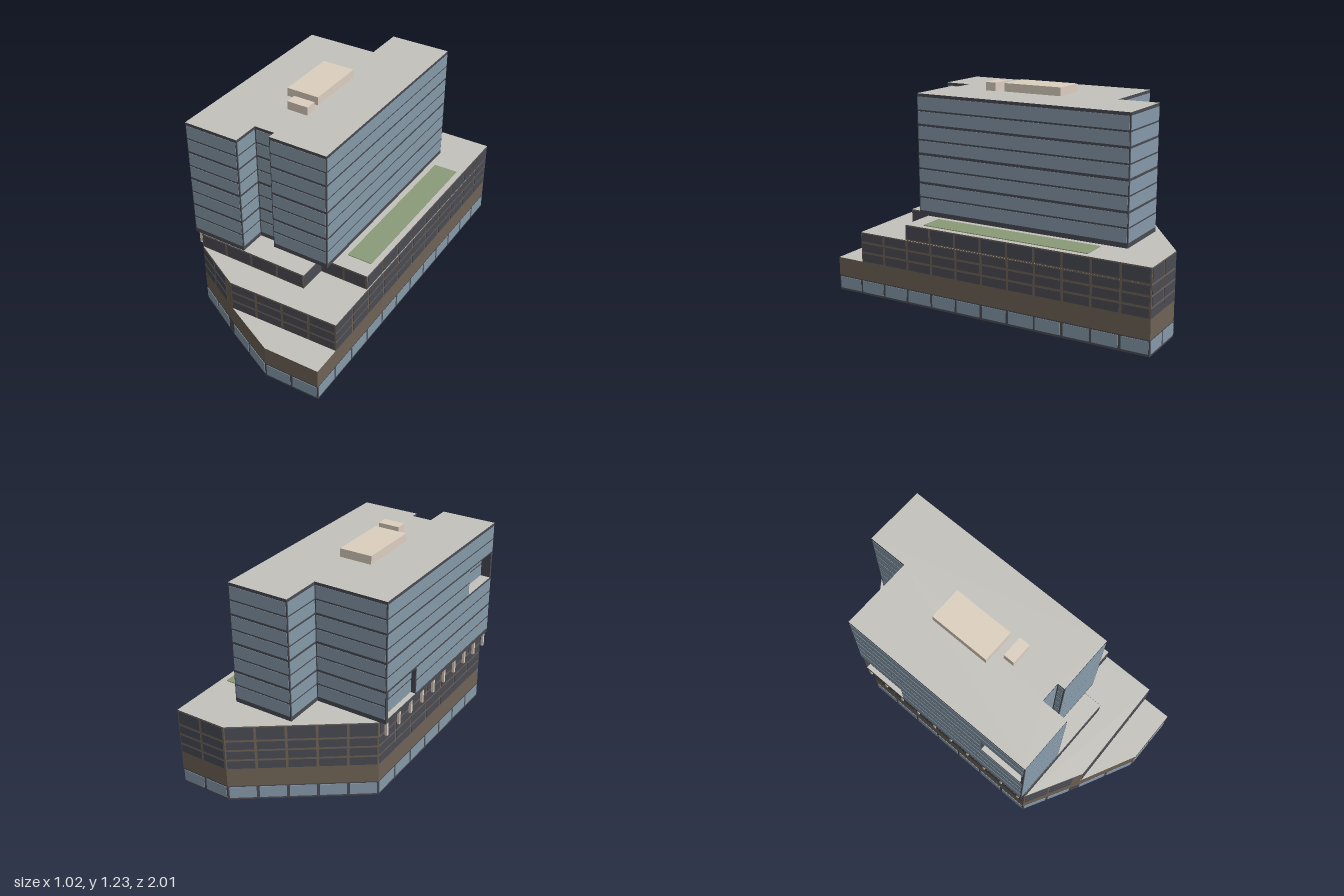
import * as THREE from 'three';

const mat = (color) => new THREE.MeshStandardMaterial({ color, side: THREE.DoubleSide });

export function createModel() {
  const model = new THREE.Group();
  model.name = 'officeBuilding';
  const glass = mat(0x8699a9), frame = mat(0x4a4b53), stone = mat(0x6e6255);
  const roofing = mat(0xc3c2bc), lawn = mat(0x8a9b78), plant = mat(0xdccfbf);

  function group(name) {
    const g = new THREE.Group();
    g.name = name;
    model.add(g);
    return g;
  }
  function add(parent, name, geometry, material) {
    const mesh = new THREE.Mesh(geometry, material);
    mesh.name = name;
    parent.add(mesh);
    return mesh;
  }
  function block(parent, name, material, x0, x1, y0, y1, z0, z1) {
    const m = add(parent, name, new THREE.BoxGeometry(x1 - x0, y1 - y0, z1 - z0), material);
    m.position.set((x0 + x1) / 2, (y0 + y1) / 2, (z0 + z1) / 2);
    return m;
  }
  // Group lying on a footprint edge: local x runs a to b, local z points outward
  function edgeFrame(parent, name, a, b) {
    const g = new THREE.Group();
    g.name = name;
    g.position.set(a[0], 0, a[1]);
    g.rotation.y = Math.atan2(a[1] - b[1], b[0] - a[0]);
    parent.add(g);
    return { g, len: Math.hypot(b[0] - a[0], b[1] - a[1]) };
  }
  const rect = (Type, u0, u1, y0, y1) => new Type([
    new THREE.Vector2(u0, y0), new THREE.Vector2(u1, y0),
    new THREE.Vector2(u1, y1), new THREE.Vector2(u0, y1)]);
  const edges = (pts) => pts.map((p, i) => [p, pts[(i + 1) % pts.length]]);

  function walls(parent, name, pts, y0, y1, material) {
    for (const [a, b] of edges(pts)) {
      const { g, len } = edgeFrame(parent, name, a, b);
      add(g, name + 'Panel', new THREE.ShapeGeometry(rect(THREE.Shape, 0, len, y0, y1)), material);
    }
  }
  function slab(parent, name, pts, y, material) {
    const shape = new THREE.Shape(pts.map(([x, z]) => new THREE.Vector2(x, -z)));
    const m = add(parent, name, new THREE.ShapeGeometry(shape), material);
    m.rotation.x = -Math.PI / 2;
    m.position.y = y;
  }
  // Rows of window panels along each edge; bays[i] = [count, usable share of the edge]
  function windows(parent, name, pts, bays, rows, material, gap) {
    edges(pts).forEach(([a, b], i) => {
      const { g, len } = edgeFrame(parent, name, a, b);
      const [count, share] = bays[i];
      const w = len * share / count;
      for (const [y0, y1] of rows) {
        for (let k = 0; k < count; k++) {
          block(g, name + 'Pane', material, k * w + gap / 2, (k + 1) * w - gap / 2, y0, y1, -0.001, 0.003);
        }
      }
    });
  }

  // Podium footprints, stepping back toward the top
  const rear = [[0.5, -1], [0.19, -1], [-0.47, -0.53]];
  const ground = [[-0.47, 0.67], [-0.15, 0.84], [0.18, 1], [0.505, 0.995], ...rear];
  const middle = [[-0.47, 0.67], [-0.15, 0.84], [0.505, 0.82], ...rear];
  const upper = [[-0.47, 0.67], [0.21, 0.67], [0.21, 0.5], [0.5, 0.5], ...rear];
  const rearBays = [[2, 1], [5, 1], [7, 1]];

  // Open-bottomed ground floor with a solid band above
  const base = group('groundFloor');
  walls(base, 'shopWall', ground, 0, 0.09, frame);
  walls(base, 'solidBand', ground, 0.09, 0.2, stone);
  slab(base, 'lowerTerrace', ground, 0.2, roofing);
  slab(base, 'lowerCeiling', ground, 0.198, mat(0x5c5a57));
  windows(base, 'shopWindow', ground, [[2, 0.85], [2, 1], [2, 1], [12, 1], ...rearBays],
    [[0.013, 0.083]], glass, 0.016);

  // Middle storeys
  const mid = group('middleStoreys');
  walls(mid, 'middleWall', middle, 0.2, 0.38, stone);
  slab(mid, 'middleTerrace', middle, 0.38, roofing);
  windows(mid, 'middleWindow', middle, [[2, 0.85], [4, 1], [11, 1], ...rearBays],
    [[0.205, 0.254], [0.266, 0.315], [0.327, 0.375]], frame, 0.014);

  // Upper podium storey with lawn
  const top = group('upperPodium');
  walls(top, 'upperWall', upper, 0.38, 0.47, stone);
  slab(top, 'podiumRoof', upper, 0.47, roofing);
  windows(top, 'upperWindow', upper, [[4, 1], [1, 1], [2, 1], [9, 1], ...rearBays],
    [[0.388, 0.464]], frame, 0.014);
  block(top, 'roofLawn', lawn, 0.32, 0.465, 0.47, 0.474, -0.63, 0.4);

  // Posts under the tower overhang
  const posts = group('overhangPosts');
  for (let i = 0; i < 10; i++) {
    const z = -0.5 + i * 0.127;
    block(posts, 'post', plant, -0.505, -0.49, 0.385, 0.472, z - 0.007, z + 0.007);
  }

  // Tower: the last edge, on the -x side, carries two recessed balconies
  const tower = group('tower');
  const plan = [[-0.51, 0.67], [-0.18, 0.67], [-0.18, 0.51], [-0.06, 0.51], [-0.06, 0.555],
    [0.285, 0.555], [0.285, -0.77], [-0.08, -0.77], [-0.08, -0.53], [-0.51, -0.53]];
  const recesses = [
    { u0: 0.02, u1: 0.31, y0: 0.495, y1: 0.657, depth: 0.03 },
    { u0: 0.91, u1: 1.185, y0: 0.84, y1: 1.0, depth: 0.06 }];
  const strips = [[0.5, 0.575], [0.585, 0.657], [0.672, 0.745], [0.755, 0.827],
    [0.843, 0.912], [0.922, 0.996], [1.01, 1.081], [1.091, 1.165]];
  slab(tower, 'towerUnderside', plan, 0.472, frame);
  slab(tower, 'towerRoof', plan, 1.183, roofing);
  edges(plan).forEach(([a, b], i) => {
    const { g, len } = edgeFrame(tower, 'towerSide', a, b);
    const cuts = i === plan.length - 1 ? recesses : [];
    const face = rect(THREE.Shape, 0, len, 0.472, 1.183);
    for (const r of cuts) face.holes.push(rect(THREE.Path, r.u0, r.u1, r.y0, r.y1));
    add(g, 'towerWall', new THREE.ShapeGeometry(face), frame);
    for (const [y0, y1] of strips) {
      let s = 0.006, e = len - 0.006;
      for (const r of cuts) {
        if (y0 < r.y0 - 0.01 || y1 > r.y1 + 0.01) continue;
        if (r.u0 < len / 2) s = r.u1 + 0.004; else e = r.u0 - 0.004;
      }
      block(g, 'glassStrip', glass, s, e, y0, y1, -0.001, 0.002);
    }
    for (const { u0, u1, y0, y1, depth } of cuts) {
      block(g, 'balconyBack', frame, u0, u1, y0, y1, -depth - 0.004, -depth);
      block(g, 'balconyFloor', roofing, u0, u1, y0 - 0.003, y0 + 0.002, -depth, -0.001);
      block(g, 'balconyCeiling', frame, u0, u1, y1, y1 + 0.004, -depth, -0.001);
      block(g, 'balconyEnd', frame, u0 - 0.004, u0, y0, y1, -depth, -0.001);
      block(g, 'balconyEnd', frame, u1, u1 + 0.004, y0, y1, -depth, -0.001);
      for (const [s0, s1] of strips) {
        if (s0 > y0 && s1 < y1 + 0.002) block(g, 'balconyGlass', glass, u0, u1, s0, s1, -depth, -depth + 0.002);
      }
    }
  });

  // Rooftop plant boxes
  const roofPlant = group('roofPlant');
  block(roofPlant, 'largePlantBox', plant, -0.215, -0.02, 1.18, 1.232, -0.205, 0.16);
  block(roofPlant, 'smallPlantBox', plant, -0.135, -0.008, 1.18, 1.232, 0.212, 0.278);

  return model;
}
